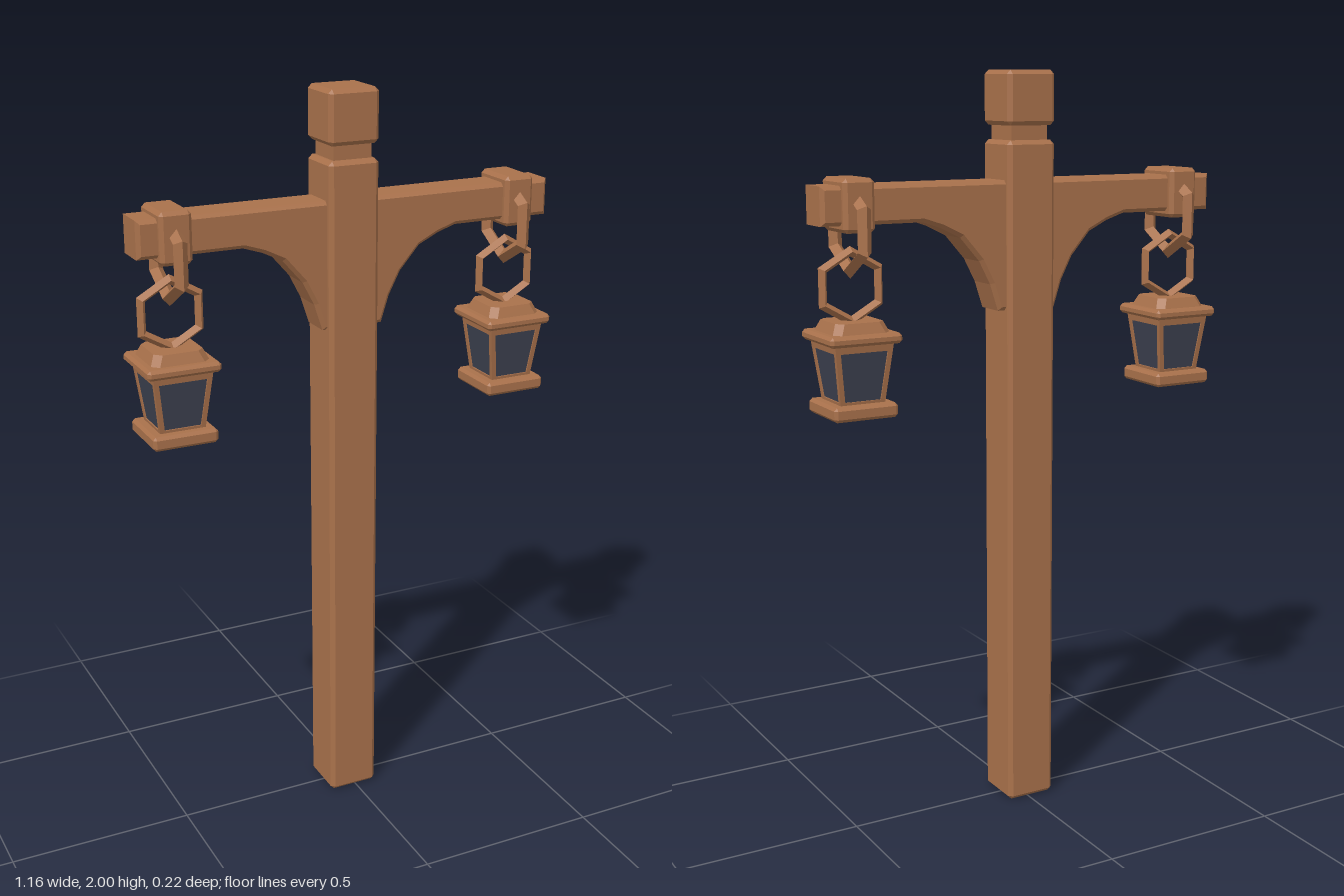
import * as THREE from 'three';
import { ConvexGeometry } from 'three/addons/geometries/ConvexGeometry.js';

const wood = new THREE.MeshStandardMaterial({ color: 0xa9714b });
wood.name = 'wood';
const glass = new THREE.MeshStandardMaterial({ color: 0x3d4150 });
glass.name = 'darkGlass';

const V = (x, y, z) => new THREE.Vector3(x, y, z);

function add(parent, name, geometry, material, x = 0, y = 0, z = 0) {
  const mesh = new THREE.Mesh(geometry, material);
  mesh.name = name;
  mesh.position.set(x, y, z);
  parent.add(mesh);
  return mesh;
}

// Box with every edge chamfered by b
function chamferBox(w, h, d, b) {
  const points = [];
  for (const sx of [-1, 1]) for (const sy of [-1, 1]) for (const sz of [-1, 1]) {
    const x = w / 2, y = h / 2, z = d / 2;
    points.push(V(sx * x, sy * (y - b), sz * (z - b)));
    points.push(V(sx * (x - b), sy * y, sz * (z - b)));
    points.push(V(sx * (x - b), sy * (y - b), sz * z));
  }
  return new ConvexGeometry(points);
}

// Slab with cut corners, half-width r0 at the bottom and r1 at the top
function cutSlab(r0, r1, y0, y1, cut) {
  const points = [];
  for (const [r, y] of [[r0, y0], [r1, y1]])
    for (const sx of [-1, 1]) for (const sz of [-1, 1])
      points.push(V(sx * r, y, sz * (r - cut)), V(sx * (r - cut), y, sz * r));
  return new ConvexGeometry(points);
}

// Tapered block between two rectangles [x0, x1, z0, z1]
function taper(bottom, top, y0, y1) {
  const points = [];
  for (const [r, y] of [[bottom, y0], [top, y1]])
    for (const x of [r[0], r[1]]) for (const z of [r[2], r[3]]) points.push(V(x, y, z));
  return new ConvexGeometry(points);
}

// Six-sided chain link with a diamond section, pointing up and down
function link(radius, tube, thickness) {
  const g = new THREE.TorusGeometry(radius, tube, 4, 6);
  g.rotateZ(Math.PI / 6);
  g.scale(1, 1, thickness / (2 * tube));
  const flat = g.toNonIndexed();
  flat.computeVertexNormals();
  return flat;
}

function makeLantern() {
  const g = new THREE.Group();
  g.name = 'lantern';
  // Collar round the beam and the two links below it
  add(g, 'beamCollar', chamferBox(0.085, 0.134, 0.14, 0.01), wood, 0, 1.673, 0);
  add(g, 'upperLink', link(0.105, 0.02, 0.037), wood, 0, 1.613, 0).rotation.y = Math.PI / 2;
  add(g, 'lowerLink', link(0.088, 0.013, 0.036), wood, 0, 1.469, 0);
  // Stepped roof
  add(g, 'roofTop', cutSlab(0.077, 0.065, 1.357, 1.384, 0.018), wood);
  add(g, 'roofBrim', chamferBox(0.196, 0.027, 0.196, 0.008), wood, 0, 1.3435, 0);
  // Tapered glass and its frame
  const lo = 0.061, hi = 0.08, bar = 0.013, y0 = 1.176, y1 = 1.332, inset = 0.004;
  const square = (r) => [-r, r, -r, r];
  add(g, 'glassPanes', taper(square(lo - inset), square(hi - inset), y0, y1), glass);
  for (const sx of [-1, 1]) for (const sz of [-1, 1]) {
    const corner = (r) => [sx * (r - bar), sx * r, sz * (r - bar), sz * r];
    add(g, 'cornerBar', taper(corner(lo), corner(hi), y0, y1), wood);
  }
  add(g, 'topRail', taper(square(0.0775), square(hi), 1.311, y1), wood);
  add(g, 'bottomRail', taper(square(lo), square(0.062), y0, 1.185), wood);
  // Base plate
  add(g, 'basePlate', chamferBox(0.175, 0.038, 0.175, 0.008), wood, 0, 1.159, 0);
  return g;
}

export function createModel() {
  const model = new THREE.Group();
  model.name = 'lampPost';

  // Post, neck and cap
  const px = -0.008;
  add(model, 'post', chamferBox(0.14, 1.823, 0.14, 0.011), wood, px, 0.9115, 0);
  add(model, 'neck', new THREE.BoxGeometry(0.106, 0.06, 0.106), wood, px, 1.842, 0);
  add(model, 'cap', chamferBox(0.14, 0.14, 0.14, 0.011), wood, px, 1.93, 0);

  // Cross beam with arched brackets, cut from one outline
  const arch = [[0.58, 1.624], [0.302, 1.624], [0.25, 1.607], [0.195, 1.58], [0.14, 1.517],
    [0.108, 1.455], [0.085, 1.384], [0.04, 1.384]];
  const outline = [
    [-0.58, 1.722],
    ...arch.map(([x, y]) => [-x, y]),
    ...arch.slice().reverse(),
    [0.58, 1.722],
  ].map(([x, y]) => new THREE.Vector2(x, y));
  const bevel = 0.01, depth = 0.105;
  const beam = new THREE.ExtrudeGeometry(new THREE.Shape(outline), {
    depth: depth - 2 * bevel, bevelEnabled: true, bevelSegments: 1,
    bevelSize: bevel, bevelThickness: bevel, bevelOffset: -bevel,
  });
  beam.translate(0, 0, -depth / 2 + bevel);
  add(model, 'beamAndBrackets', beam, wood, -0.003, 0, -0.002);

  // A lantern at each end of the beam
  for (const side of [-1, 1]) {
    const lantern = makeLantern();
    lantern.position.set(-0.003 + side * 0.484, 0, -0.002);
    model.add(lantern);
  }
  return model;
}
